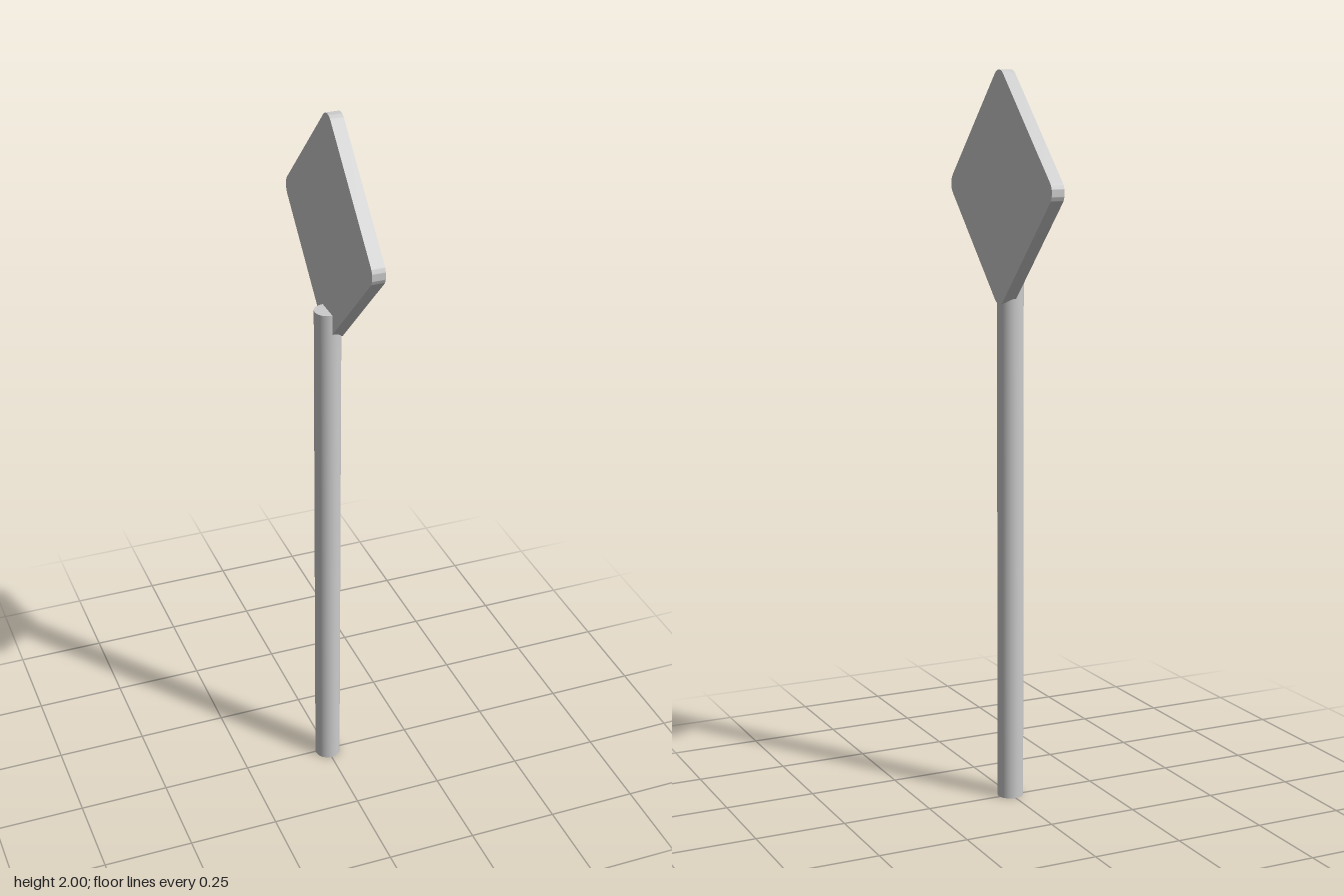
import * as THREE from 'three';
import { toCreasedNormals } from 'three/addons/utils/BufferGeometryUtils.js';

const POLE_RADIUS = 0.036;
const POLE_HEIGHT = 1.465;
const PLATE_SIDE = 0.457;
const PLATE_CORNER = 0.036;
const PLATE_CENTRE_Y = 1.692;

// Square outline with rounded corners, centred on the origin
function roundedSquare(side, r) {
  const c = side / 2 - r;
  const shape = new THREE.Shape();
  [[1, 1], [-1, 1], [-1, -1], [1, -1]].forEach(([sx, sy], i) => {
    const start = (i * Math.PI) / 2;
    shape.absarc(sx * c, sy * c, r, start, start + Math.PI / 2, false);
  });
  shape.closePath();
  return shape;
}

export function createModel() {
  const group = new THREE.Group();
  group.name = 'signpost';
  const material = new THREE.MeshStandardMaterial({ color: 0xcccccc });

  // Round pole
  const pole = new THREE.Mesh(
    new THREE.CylinderGeometry(POLE_RADIUS, POLE_RADIUS, POLE_HEIGHT, 48), material);
  pole.name = 'pole';
  pole.position.set(0, POLE_HEIGHT / 2, 0.005);
  group.add(pole);

  // Diamond plate, set into the +x half of the pole top
  const plateGeometry = new THREE.ExtrudeGeometry(roundedSquare(PLATE_SIDE, PLATE_CORNER), {
    depth: POLE_RADIUS, bevelEnabled: false, curveSegments: 10,
  });
  plateGeometry.rotateZ(Math.PI / 4);
  plateGeometry.rotateY(Math.PI / 2);
  const plate = new THREE.Mesh(toCreasedNormals(plateGeometry, Math.PI / 6), material);
  plate.name = 'signPlate';
  plate.position.y = PLATE_CENTRE_Y;
  group.add(plate);

  return group;
}
